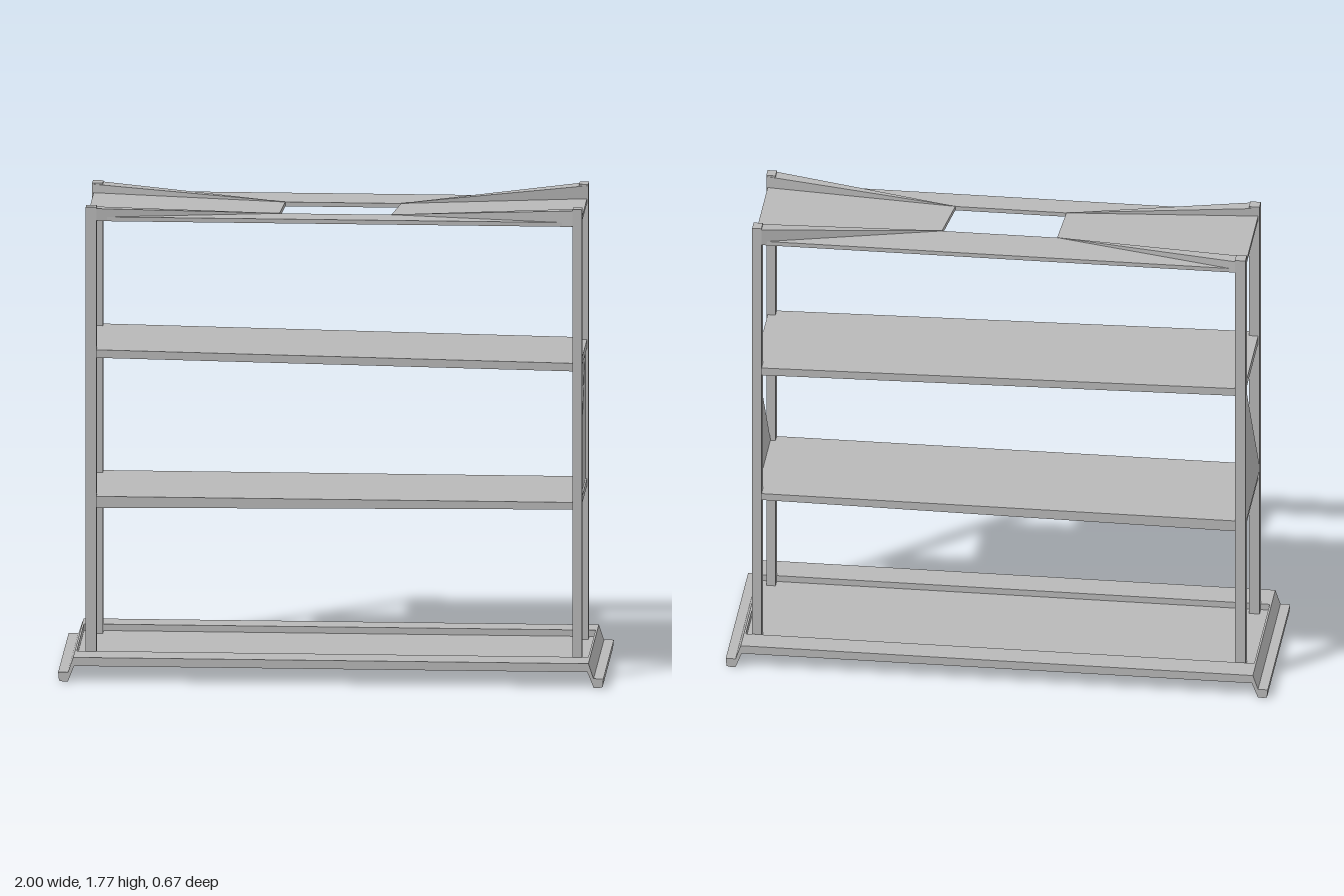
import * as THREE from 'three';
import { ConvexGeometry } from 'three/addons/geometries/ConvexGeometry.js';

export function createModel() {
  const model = new THREE.Group();
  model.name = 'shelfRack';
  const grey = new THREE.MeshStandardMaterial({ color: 0xb8b8b8 });
  grey.name = 'steel grey';

  const add = (name, geometry) => {
    const mesh = new THREE.Mesh(geometry, grey);
    mesh.name = name;
    model.add(mesh);
    return mesh;
  };

  // Box whose bottom and top heights differ between its left-hand and right-hand ends
  const slab = (name, x0, x1, z0, z1, [b0, t0], [b1, t1] = [b0, t0]) => {
    const g = new THREE.BoxGeometry(1, 1, 1);
    const p = g.attributes.position;
    for (let i = 0; i < p.count; i++) {
      const atRight = p.getX(i) > 0, atTop = p.getY(i) > 0;
      const y = atRight ? (atTop ? t1 : b1) : (atTop ? t0 : b0);
      p.setXYZ(i, atRight ? x1 : x0, y, p.getZ(i) > 0 ? z1 : z0);
    }
    g.computeVertexNormals();
    return add(name, g);
  };

  const shapeOf = (pts) => new THREE.Shape(pts.map(([x, y]) => new THREE.Vector2(x, y)));

  // Base: recessed floor, raised long rails and bent foot flanges at both ends
  slab('baseFloor', -0.942, 0.942, -0.335, 0.335, [0.058, 0.066]);
  slab('baseFrontRail', -0.94, 0.94, 0.222, 0.335, [0.06, 0.09]);
  slab('baseBackRail', -0.94, 0.94, -0.335, -0.24, [0.06, 0.09]);
  for (const s of [-1, 1]) {
    const profile = [[0.938, 0.09], [0.945, 0.09], [0.964, 0.034], [1, 0.034],
      [0.997, 0.003], [0.985, 0], [0.964, 0], [0.938, 0.066]];
    const g = new THREE.ExtrudeGeometry(shapeOf(profile.map(([x, y]) => [s * x, y])),
      { depth: 0.67, bevelEnabled: false });
    g.translate(0, 0, -0.335);
    add('footFlange', g);
  }

  // Corner posts, and the folded wedges running from their tops to the top opening
  const posts = [
    { x: [-0.905, -0.866], z: [0.187, 0.228], top: 1.755, apex: [-0.2, 0.125] },
    { x: [0.881, 0.915], z: [0.187, 0.228], top: 1.768, apex: [0.21, 0.125] },
    { x: [-0.905, -0.866], z: [-0.235, -0.19], top: 1.755, apex: [-0.19, -0.07] },
    { x: [0.881, 0.915], z: [-0.235, -0.19], top: 1.772, apex: [0.235, -0.07] },
  ];
  for (const { x, z, top, apex } of posts) {
    slab('post', ...x, ...z, [0.052, top]);
    const right = x[0] > 0, front = z[0] > 0;
    const inX = right ? x[0] : x[1], outX = right ? x[1] : x[0];
    const inZ = front ? z[0] : z[1], outZ = front ? z[1] : z[0];
    const v = (px, py, pz) => new THREE.Vector3(px, py, pz);
    add('topFold', new ConvexGeometry([
      v(inX, 1.705, outZ), v(inX, top - 0.005, outZ),
      v(outX, 1.705, inZ), v(outX, top - 0.005, inZ),
      v(apex[0], 1.708, apex[1]), v(apex[0], 1.719, apex[1]),
    ]));
  }

  // Upper shelf, sloping down toward the model's left
  slab('upperShelf', -0.9, 0.91, -0.228, 0.222, [1.19, 1.22], [1.16, 1.19]);

  // Lower shelf: panel with a deeper rim around its edge
  const low = [0.627, 0.67], lowRight = [0.643, 0.669];
  slab('lowerShelfPanel', -0.9, 0.91, -0.225, 0.219, [0.652, 0.67], [0.655, 0.669]);
  slab('lowerShelfFrontRim', -0.9, 0.91, 0.2, 0.222, low, lowRight);
  slab('lowerShelfBackRim', -0.9, 0.91, -0.228, -0.205, low, lowRight);
  slab('lowerShelfEndRim', -0.9, -0.88, -0.205, 0.2, low);
  slab('lowerShelfEndRim', 0.89, 0.91, -0.205, 0.2, lowRight);

  // Triangular side braces between the two shelves
  for (const x of [-0.902, 0.904]) {
    const g = new THREE.ExtrudeGeometry(shapeOf([[-0.19, 0.665], [0.195, 0.665], [-0.19, 1.175]]),
      { depth: 0.004, bevelEnabled: false });
    g.rotateY(-Math.PI / 2);
    g.translate(x, 0, 0);
    add('sideBrace', g);
  }

  // Top sheet with a central opening (shape y becomes -z)
  const sheet = shapeOf([[-0.9, -0.222], [0.91, -0.222], [0.91, 0.23], [-0.9, 0.23]]);
  sheet.holes.push(new THREE.Path(
    [[-0.2, -0.125], [0.21, -0.125], [0.235, 0.07], [-0.19, 0.07]].map(([x, y]) => new THREE.Vector2(x, y))));
  const top = new THREE.ExtrudeGeometry(sheet, { depth: 0.016, bevelEnabled: false });
  top.rotateX(-Math.PI / 2);
  top.translate(0, 1.702, 0);
  add('topSheet', top);

  return model;
}
